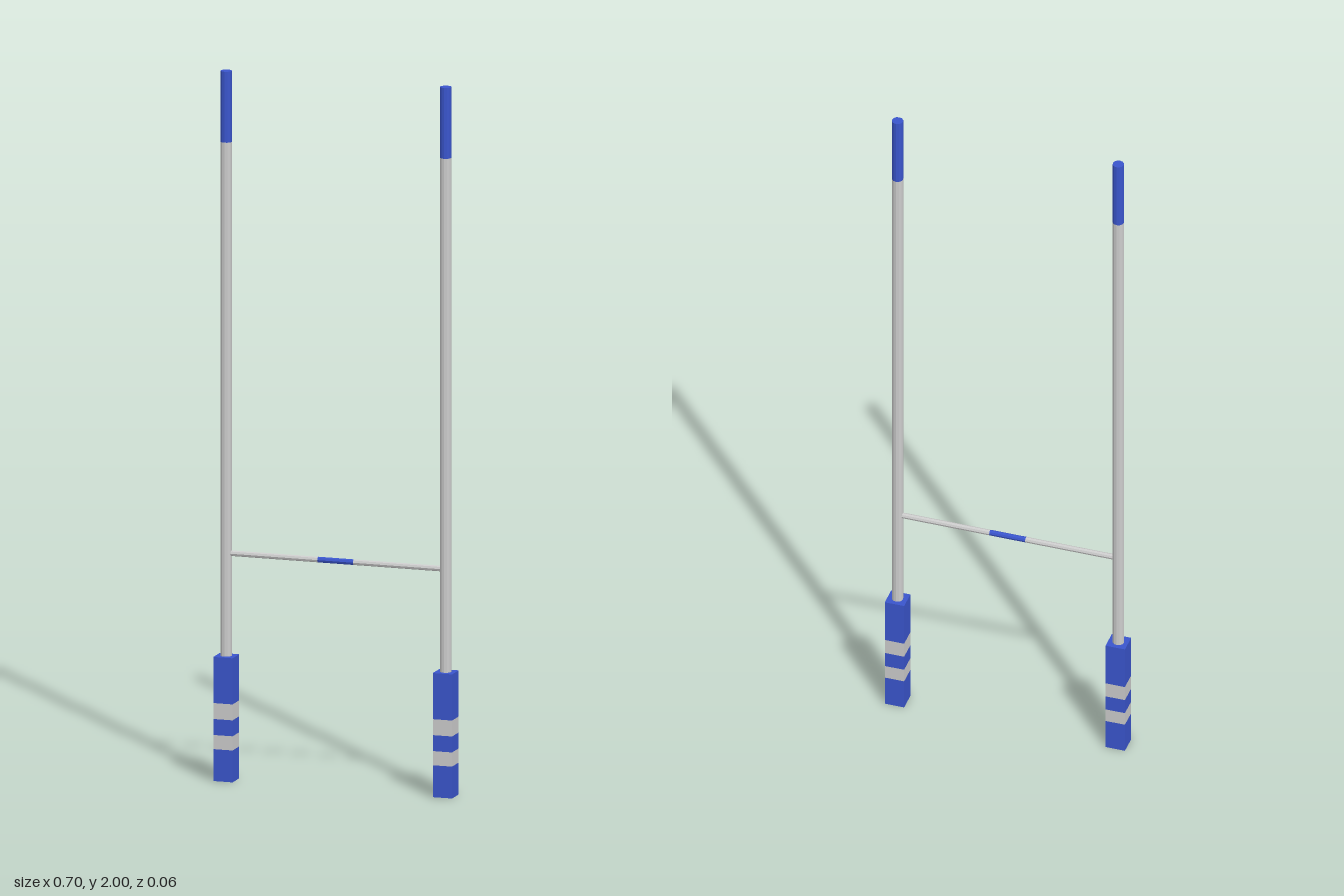
import * as THREE from 'three';

const grey = new THREE.MeshStandardMaterial({ color: 0xcccccc, flatShading: true });
const blue = new THREE.MeshStandardMaterial({ color: 0x3a55cc, flatShading: true });

const POST_X = 0.32, POST_R = 0.016, PAD_HALF = 0.028, BAR_R = 0.008, BAR_Y = 0.64;

function add(parent, name, geometry, material) {
  const mesh = new THREE.Mesh(geometry, material);
  mesh.name = name;
  parent.add(mesh);
  return mesh;
}

// Upright round section between two heights
function rod(parent, name, radius, sides, y0, y1, material) {
  const geometry = new THREE.CylinderGeometry(radius, radius, y1 - y0, sides);
  geometry.translate(0, (y0 + y1) / 2, 0);
  return add(parent, name, geometry, material);
}

// Square sleeve of padding around the post between two heights
function sleeve(parent, name, y0, y1, material) {
  const square = (path, h) =>
    path.moveTo(-h, -h).lineTo(h, -h).lineTo(h, h).lineTo(-h, h).closePath();
  const shape = square(new THREE.Shape(), PAD_HALF);
  shape.holes.push(square(new THREE.Path(), POST_R));
  const geometry = new THREE.ExtrudeGeometry(shape, { depth: y1 - y0, bevelEnabled: false });
  geometry.rotateX(-Math.PI / 2).translate(0, y0, 0);
  return add(parent, name, geometry, material);
}

function createPost(name, x) {
  const post = new THREE.Group();
  post.name = name;
  post.position.x = x;

  // Pole with coloured tip
  rod(post, 'pole', POST_R, 12, 0, 1.8, grey);
  rod(post, 'poleTip', POST_R, 12, 1.8, 2, blue);

  // Padding with two pale stripes
  const heights = [0, 0.09, 0.13, 0.175, 0.22, 0.35];
  for (let i = 0; i < heights.length - 1; i++) {
    const stripe = i % 2 === 1;
    sleeve(post, stripe ? 'padStripe' : 'pad', heights[i], heights[i + 1], stripe ? grey : blue);
  }
  // Closed top of the padding
  const top = new THREE.PlaneGeometry(PAD_HALF * 2, PAD_HALF * 2);
  top.rotateX(-Math.PI / 2).translate(0, 0.3502, 0);
  add(post, 'padTop', top, blue);
  return post;
}

export function createModel() {
  const goal = new THREE.Group();
  goal.name = 'goalPosts';
  goal.add(createPost('leftPost', POST_X), createPost('rightPost', -POST_X));

  // Crossbar with coloured centre mark
  const bar = new THREE.Group();
  bar.name = 'crossbar';
  bar.rotation.z = -Math.PI / 2;
  bar.position.y = BAR_Y;
  rod(bar, 'barRight', BAR_R, 8, -POST_X, -0.052, grey);
  rod(bar, 'barCentre', BAR_R, 8, -0.052, 0.052, blue);
  rod(bar, 'barLeft', BAR_R, 8, 0.052, POST_X, grey);
  goal.add(bar);
  return goal;
}
